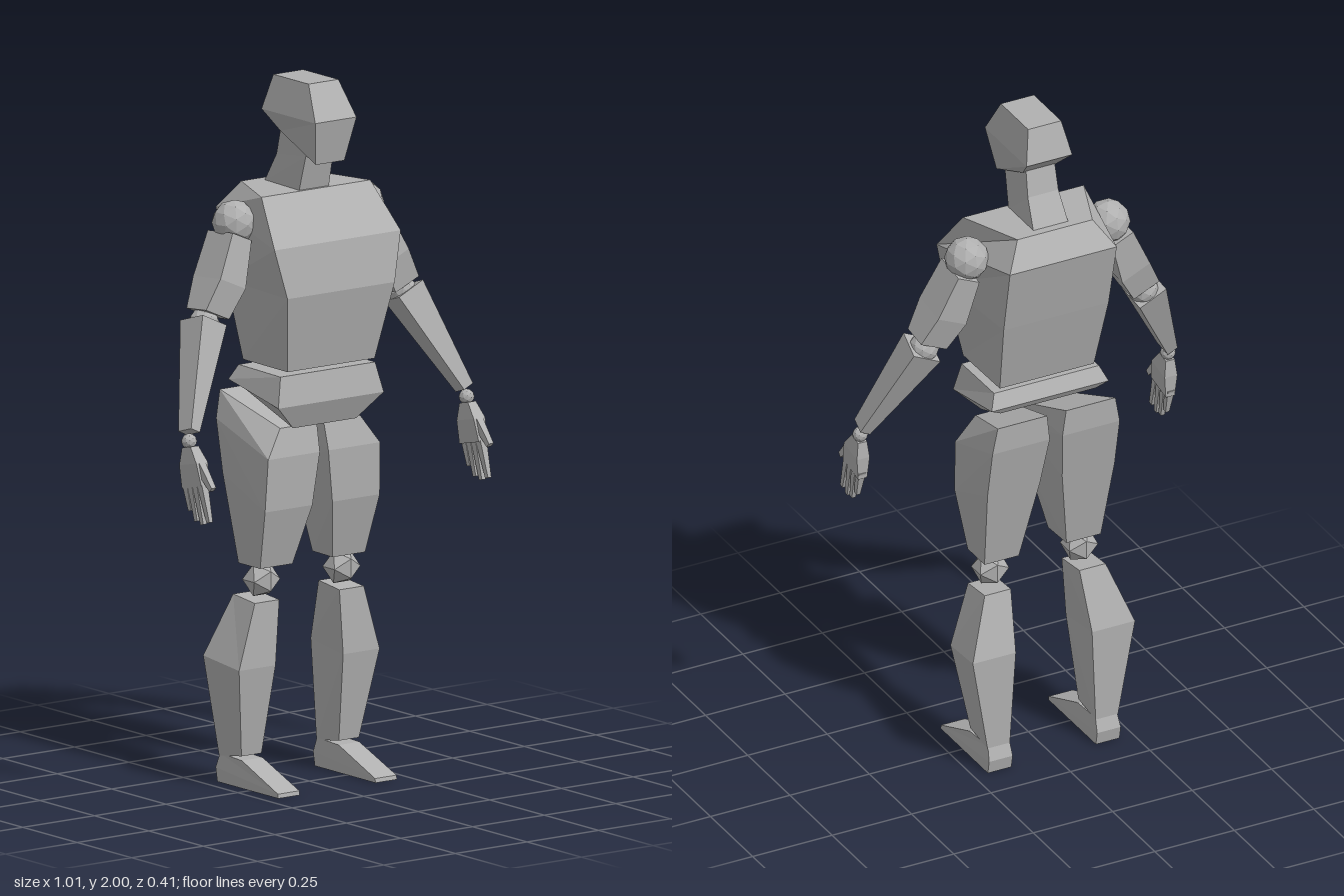
import * as THREE from 'three';

const grey = new THREE.MeshStandardMaterial({ color: 0xb0b0b0, flatShading: true });
grey.name = 'grey';

// Skin a stack of four-cornered rings (listed top to bottom) into a closed faceted solid.
function loft(name, rings, side = 1) {
  const pos = [];
  const tri = (a, b, c) => {
    for (const p of side > 0 ? [a, b, c] : [a, c, b]) pos.push(p.x * side, p.y, p.z);
  };
  const quad = (a, b, c, d) => { tri(a, b, c); tri(a, c, d); };
  for (let r = 0; r < rings.length - 1; r++) {
    const hi = rings[r], lo = rings[r + 1];
    for (let i = 0; i < 4; i++) {
      const j = (i + 1) % 4;
      quad(lo[i], lo[j], hi[j], hi[i]);
    }
  }
  quad(...rings[0]);
  quad(...[...rings[rings.length - 1]].reverse());
  const geo = new THREE.BufferGeometry();
  geo.setAttribute('position', new THREE.Float32BufferAttribute(pos, 3));
  geo.computeVertexNormals();
  const mesh = new THREE.Mesh(geo, grey);
  mesh.name = name;
  return mesh;
}

// Ring from a front edge and a back edge, each [y, z, xMin, xMax].
function slab([fy, fz, f0, f1], [by, bz, b0, b1]) {
  const v = (x, y, z) => new THREE.Vector3(x, y, z);
  return [v(f0, fy, fz), v(f1, fy, fz), v(b1, by, bz), v(b0, by, bz)];
}

// Symmetric ring: edges given as [y, z, halfWidth].
const sym = (f, b) => slab([f[0], f[1], -f[2], f[2]], [b[0], b[1], -b[2], b[2]]);

// Tapered limb along a path of [x, y, z, halfWidth, halfDepth].
function limb(name, path, side) {
  const pts = path.map(p => new THREE.Vector3(p[0], p[1], p[2]));
  const t = pts[pts.length - 1].clone().sub(pts[0]).normalize();
  const u = new THREE.Vector3(-t.y, t.x, 0).normalize();
  const v = new THREE.Vector3().crossVectors(t, u);
  const rings = path.map(([, , , w, d], i) =>
    [[-1, 1], [1, 1], [1, -1], [-1, -1]].map(([a, b]) =>
      pts[i].clone().addScaledVector(u, a * w).addScaledVector(v, b * d)));
  return loft(name, rings, side);
}

function ball(name, x, y, z, r, detail, side) {
  const mesh = new THREE.Mesh(new THREE.IcosahedronGeometry(r, detail), grey);
  mesh.position.set(x * side, y, z);
  mesh.name = name;
  return mesh;
}

function createArm(s) {
  const arm = new THREE.Group();
  arm.name = s > 0 ? 'leftArm' : 'rightArm';
  arm.add(
    ball('shoulderJoint', 0.222, 1.61, -0.053, 0.063, 1, s),
    limb('upperArm', [
      [0.24, 1.575, -0.05, 0.036, 0.055],
      [0.287, 1.45, -0.035, 0.048, 0.06],
      [0.333, 1.368, -0.028, 0.044, 0.043]], s),
    ball('elbowJoint', 0.345, 1.345, -0.03, 0.043, 1, s),
    limb('forearm', [
      [0.349, 1.345, -0.027, 0.046, 0.046],
      [0.48, 1.07, 0.08, 0.017, 0.026]], s),
    ball('wristJoint', 0.484, 1.045, 0.085, 0.022, 1, s),
    limb('palm', [
      [0.484, 1.03, 0.09, 0.014, 0.02],
      [0.484, 0.985, 0.105, 0.02, 0.04],
      [0.484, 0.92, 0.115, 0.014, 0.046]], s),
    limb('thumb', [
      [0.484, 0.985, 0.135, 0.011, 0.014],
      [0.484, 0.925, 0.193, 0.008, 0.008]], s));
  // four fingers fanning forward
  for (let i = 0; i < 4; i++) {
    const drop = [0.85, 0.825, 0.82, 0.83][i];
    arm.add(limb('finger', [
      [0.486, 0.93, 0.078 + 0.024 * i, 0.011, 0.011],
      [0.486, drop, 0.098 + 0.028 * i, 0.006, 0.007]], s));
  }
  return arm;
}

function createLeg(s) {
  const leg = new THREE.Group();
  leg.name = s > 0 ? 'leftLeg' : 'rightLeg';
  leg.add(
    loft('thigh', [
      slab([1.03, 0.05, 0.012, 0.14], [1.11, -0.168, 0.03, 0.185]),
      slab([0.95, 0.068, 0.015, 0.195], [1.03, -0.165, 0.02, 0.2]),
      slab([0.8, 0.06, 0.035, 0.2], [0.88, -0.135, 0.035, 0.2]),
      slab([0.63, 0.015, 0.07, 0.183], [0.63, -0.085, 0.075, 0.183])], s),
    ball('kneeJoint', 0.14, 0.587, -0.037, 0.053, 0, s),
    loft('calf', [
      slab([0.53, 0, 0.105, 0.19], [0.54, -0.1, 0.108, 0.19]),
      slab([0.345, 0, 0.118, 0.245], [0.365, -0.152, 0.12, 0.255]),
      slab([0.09, -0.042, 0.135, 0.205], [0.075, -0.145, 0.135, 0.205])], s),
    loft('foot', [
      slab([0.078, -0.04, 0.133, 0.205], [0.082, -0.143, 0.135, 0.203]),
      slab([0.012, 0.128, 0.132, 0.207], [0.04, -0.158, 0.133, 0.207]),
      slab([0, 0.13, 0.132, 0.207], [0, -0.15, 0.133, 0.207])], s));
  return leg;
}

export function createModel() {
  const model = new THREE.Group();
  model.name = 'mannequin';
  model.add(
    // head with angled underside, and neck
    loft('head', [
      sym([2, 0.065, 0.052], [2, -0.097, 0.052]),
      sym([1.9, 0.122, 0.072], [1.9, -0.125, 0.072]),
      sym([1.775, 0.095, 0.05], [1.845, -0.065, 0.052])]),
    loft('neck', [
      sym([1.85, 0.05, 0.045], [1.86, -0.07, 0.045]),
      sym([1.79, 0.047, 0.048], [1.775, -0.088, 0.048]),
      sym([1.685, 0.02, 0.052], [1.69, -0.135, 0.055])]),
    // torso
    loft('torso', [
      sym([1.69, 0.03, 0.19], [1.695, -0.158, 0.118]),
      sym([1.56, 0.13, 0.22], [1.62, -0.208, 0.168]),
      sym([1.42, 0.146, 0.187], [1.42, -0.165, 0.165]),
      sym([1.2, 0.1, 0.152], [1.2, -0.11, 0.148])]),
    // wedge-shaped hips
    loft('pelvis', [
      sym([1.185, 0.085, 0.165], [1.188, -0.108, 0.165]),
      sym([1.1, 0.1, 0.184], [1.145, -0.13, 0.184]),
      sym([1.03, 0.07, 0.11], [1.125, -0.118, 0.15])]));
  for (const s of [1, -1]) model.add(createArm(s), createLeg(s));
  return model;
}
